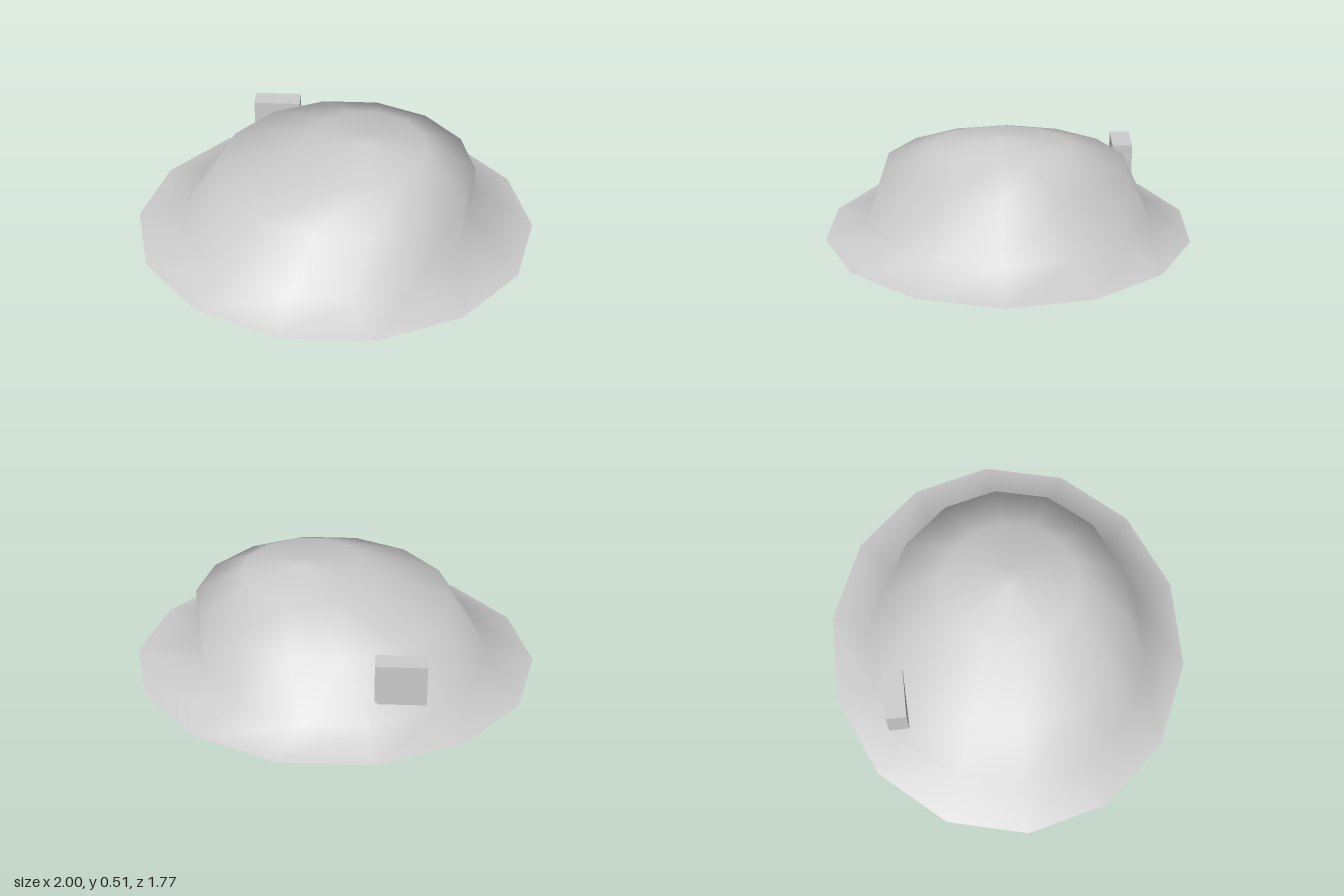
import * as THREE from 'three';

const SIDES = 14;

// Elliptical cross-sections, bottom to top: y, centre x, centre z, radius x, radius z
const RINGS = [
  [0, 0, 0, 1, 0.91],
  [0.075, -0.035, 0, 0.725, 0.71],
  [0.35, 0.055, 0.015, 0.635, 0.6],
  [0.47, 0.145, 0.035, 0.305, 0.335],
  [0.515, 0.15, 0.03, 0.05, 0.04],
];

// Smooth skin through the rings, closed by a fan at the top
function loftGeometry(rings) {
  const positions = [];
  const index = [];
  for (const [y, cx, cz, rx, rz] of rings) {
    for (let j = 0; j < SIDES; j++) {
      const a = (j / SIDES) * Math.PI * 2;
      positions.push(cx + rx * Math.cos(a), y, cz + rz * Math.sin(a));
    }
  }
  const [topY, topX, topZ] = rings[rings.length - 1];
  positions.push(topX, topY, topZ);
  const centre = rings.length * SIDES;
  for (let i = 0; i < rings.length; i++) {
    for (let j = 0; j < SIDES; j++) {
      const a = i * SIDES + j;
      const b = i * SIDES + ((j + 1) % SIDES);
      if (i === rings.length - 1) index.push(a, centre, b);
      else index.push(a, a + SIDES, b, b, a + SIDES, b + SIDES);
    }
  }
  const geometry = new THREE.BufferGeometry();
  geometry.setAttribute('position', new THREE.Float32BufferAttribute(positions, 3));
  geometry.setIndex(index);
  geometry.computeVertexNormals();
  return geometry;
}

export function createModel() {
  const model = new THREE.Group();
  model.name = 'domedMound';
  const lightGrey = new THREE.MeshStandardMaterial({ color: 0xcccccc });
  lightGrey.name = 'lightGrey';

  const add = (name, geometry) => {
    const mesh = new THREE.Mesh(geometry, lightGrey);
    mesh.name = name;
    model.add(mesh);
    return mesh;
  };

  // Flared brim and leaning dome in one smooth skin
  add('domeAndBrim', loftGeometry(RINGS));

  // Flat underside
  const base = new THREE.CircleGeometry(1, SIDES);
  base.rotateX(Math.PI / 2);
  base.scale(1, 1, 0.91);
  add('underside', base);

  // Small block set into the back of the dome
  add('backBlock', new THREE.BoxGeometry(0.24, 0.205, 0.1)).position.set(-0.33, 0.2525, -0.58);

  return model;
}
